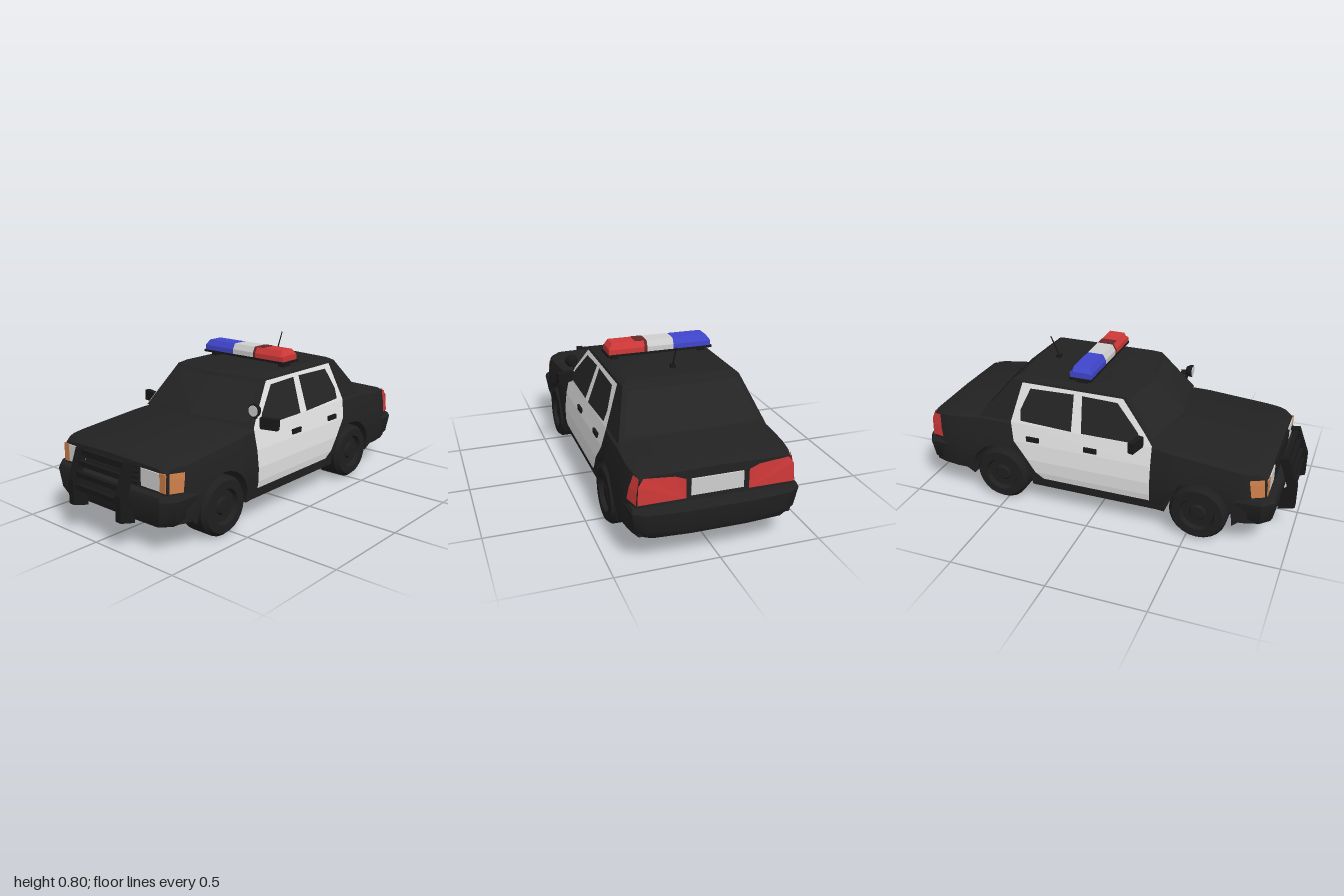
import * as THREE from 'three';
import { toCreasedNormals } from 'three/addons/utils/BufferGeometryUtils.js';

const paint = (name, color, side = THREE.FrontSide) => {
  const m = new THREE.MeshStandardMaterial({ color, side });
  m.name = name;
  return m;
};

// Piecewise-linear lookup in [[key, value], ...]
function lerpTable(table, k) {
  if (k <= table[0][0]) return table[0][1];
  for (let i = 1; i < table.length; i++) {
    const [k0, v0] = table[i - 1], [k1, v1] = table[i];
    if (k <= k1) return v0 + (v1 - v0) * (k - k0) / (k1 - k0);
  }
  return table[table.length - 1][1];
}

// Body rules: half width by height, plan taper and top line along the car
const SIDE = [[0.11, 0.385], [0.2, 0.4], [0.27, 0.402], [0.36, 0.392], [0.46, 0.37], [0.685, 0.292]];
const PLAN = [[-0.88, 0.9], [-0.8, 1], [-0.74, 1.02], [-0.4, 1.02], [-0.34, 1], [0.46, 1], [0.5, 1.02], [0.8, 1.02], [0.88, 0.99], [0.94, 0.94]];
const TOP = [[-0.88, 0.405], [-0.84, 0.43], [-0.33, 0.475], [0.66, 0.475], [0.9, 0.45], [0.94, 0.435]];
const halfWidth = (x, y) => lerpTable(SIDE, y) * lerpTable(PLAN, x);
const WHEELS = [-0.555, 0.525], WHEEL_Y = 0.148, ARCH = 0.172;

// Closed skin through equal-length rings of [x, y, z], with fan caps
function loft(rings, crease = 0.6) {
  const tris = [], n = rings[0].length;
  for (let i = 0; i + 1 < rings.length; i++)
    for (let j = 0; j < n; j++) {
      const k = (j + 1) % n, a = rings[i][j], b = rings[i][k], c = rings[i + 1][k], d = rings[i + 1][j];
      tris.push([a, b, c], [a, c, d]);
    }
  const cap = (ring, flip) => {
    const mid = [0, 1, 2].map(q => ring.reduce((s, p) => s + p[q], 0) / n);
    ring.forEach((p, j) => {
      const next = ring[(j + 1) % n];
      tris.push(flip ? [mid, next, p] : [mid, p, next]);
    });
  };
  cap(rings[0], true);
  cap(rings[rings.length - 1], false);
  const v = p => new THREE.Vector3(...p);
  const volume = tris.reduce((s, [a, b, c]) => s + v(a).dot(v(b).cross(v(c))), 0);
  if (volume < 0) tris.forEach(t => t.reverse());
  const g = new THREE.BufferGeometry();
  g.setAttribute('position', new THREE.Float32BufferAttribute(tris.flat(2), 3));
  return toCreasedNormals(g, crease);
}

// Flat convex faces given as lists of 3D corners
function faces(polys) {
  const pos = [];
  for (const p of polys) for (let i = 1; i + 1 < p.length; i++) pos.push(...p[0], ...p[i], ...p[i + 1]);
  const g = new THREE.BufferGeometry();
  g.setAttribute('position', new THREE.Float32BufferAttribute(pos, 3));
  g.computeVertexNormals();
  return g;
}

// Keep the part of an x-y polygon on one side of a height
function clip(poly, h, keepAbove) {
  const inside = p => keepAbove ? p[1] >= h : p[1] <= h, out = [];
  poly.forEach((p, i) => {
    const q = poly[(i + 1) % poly.length];
    if (inside(p)) out.push(p);
    if (inside(p) !== inside(q)) out.push([p[0] + (q[0] - p[0]) * (h - p[1]) / (q[1] - p[1]), h]);
  });
  return out;
}

// Thin panel that hugs the body side; s is +1 or -1
function sidePanel(poly, off, s) {
  const cuts = [0.1, 0.2, 0.27, 0.36, 0.46, 0.7], out = [];
  for (let i = 0; i + 1 < cuts.length; i++) {
    const band = clip(clip(poly, cuts[i], true), cuts[i + 1], false)
      .map(([x, y]) => [x, y, s * (halfWidth(x, y) + off)]);
    if (band.length > 2) out.push(s > 0 ? band : band.reverse());
  }
  return faces(out);
}

export function createModel() {
  const car = new THREE.Group();
  const D = THREE.DoubleSide;
  const black = paint('bodyBlack', 0x222222), rubber = paint('rubber', 0x1f1f1f), trim = paint('trim', 0x191919);
  const glass = paint('glass', 0x242424, D), white = paint('doorWhite', 0xe2e2e2, D), red = paint('red', 0xd03838, D);
  const darkRed = paint('darkRed', 0x642828, D), blue = paint('blue', 0x4046cc), orange = paint('orange', 0xc87c48, D);
  const lamp = paint('lampGrey', 0xcfcfcf, D);
  const add = (name, geo, mat, x = 0, y = 0, z = 0) => {
    const m = new THREE.Mesh(geo, mat);
    m.name = name;
    m.position.set(x, y, z);
    car.add(m);
    return m;
  };
  const box = (name, mat, w, h, d, x, y, z) => add(name, new THREE.BoxGeometry(w, h, d), mat, x, y, z);

  // Lower body, its sides lifted over the wheels
  const stations = [-0.88, -0.84, -0.8, -0.76, -0.38, -0.34, 0, 0.3, 0.66, 0.74, 0.8, 0.88, 0.94];
  for (const c of WHEELS) {
    stations.push(c - ARCH - 0.002, c + ARCH + 0.002);
    for (let i = 0; i <= 12; i++) stations.push(c - ARCH * Math.cos(Math.PI * i / 12));
  }
  stations.sort((a, b) => a - b);
  add('lowerBody', loft(stations.map(x => {
    const bottom = x < -0.74 || x > 0.72 ? 0.14 : 0.11, top = lerpTable(TOP, x), shoulder = top - 0.025;
    let arch = bottom;
    for (const c of WHEELS) {
      const d = ARCH * ARCH - (x - c) ** 2;
      if (d > -1e-9) arch = Math.max(arch, WHEEL_Y + Math.sqrt(Math.max(d, 0)));
    }
    const half = [[0.24, bottom], [0.24, arch]];
    for (const row of [0.11, 0.2, 0.27, 0.36, shoulder]) {
      const y = Math.min(Math.max(row, arch), shoulder);
      half.push([halfWidth(x, y), y]);
    }
    half.push([0.88 * halfWidth(x, shoulder), top - 0.006]);
    return [[x, bottom, 0], ...half.map(([z, y]) => [x, y, z]), [x, top, 0],
      ...half.reverse().map(([z, y]) => [x, y, -z])];
  })), black);

  // Cabin: rings from belt line to roof
  const cabinRing = (y, z, f, fMid, r, rMid, yMid = y) =>
    [[fMid, yMid, 0], [f, y, z], [r, y, z], [rMid, yMid, 0], [r, y, -z], [f, y, -z]];
  add('cabin', loft([
    cabinRing(0.46, 0.37, -0.31, -0.38, 0.655, 0.67),
    cabinRing(0.67, 0.297, -0.14, -0.18, 0.48, 0.495),
    cabinRing(0.686, 0.27, -0.1, -0.13, 0.45, 0.46, 0.69),
  ], 0.4), black);
  for (const s of [1, -1]) add('windshield', faces([[
    [-0.365, 0.485, 0], [-0.296, 0.485, s * 0.335], [-0.16, 0.655, s * 0.28], [-0.199, 0.655, 0]]]), glass);
  for (const s of [1, -1]) add('rearWindow', faces([[
    [0.656, 0.485, 0], [0.642, 0.485, s * 0.335], [0.5, 0.655, s * 0.28], [0.514, 0.655, 0]]]), glass);

  // Bumpers, built upward from a half plan outline
  const bumper = (name, plan, xMid) => {
    const ring = (y, k, dx) => {
      const half = plan.map(([x, z]) => [xMid + (x - xMid) * dx, y, z * k]);
      return [...half, ...half.slice().reverse().map(([x, yy, z]) => [x, yy, -z])];
    };
    add(name, loft([ring(0.135, 0.9, 0.9), ring(0.17, 0.96, 0.96), ring(0.265, 1, 1), ring(0.285, 0.98, 0.97)], 0.5), black);
  };
  bumper('frontBumper', [[-0.93, 0.18], [-0.925, 0.355], [-0.87, 0.408], [-0.74, 0.412]], -0.72);
  bumper('rearBumper', [[1, 0.15], [0.985, 0.345], [0.95, 0.4], [0.71, 0.412]], 0.7);

  // Both sides: doors, windows, handles, lamps, mirrors and wheels
  const door = [[-0.305, 0.165], [0.28, 0.165], [0.325, 0.2], [0.37, 0.27], [0.445, 0.36], [0.465, 0.46],
    [0.42, 0.662], [-0.13, 0.662], [-0.26, 0.52], [-0.305, 0.465]];
  const windows = {
    frontWindow: [[-0.255, 0.465], [0.07, 0.465], [0.085, 0.645], [-0.105, 0.64], [-0.225, 0.52]],
    rearSideWindow: [[0.125, 0.465], [0.41, 0.475], [0.415, 0.53], [0.37, 0.64], [0.13, 0.645]],
  };
  const tyre = [[0, -0.08], [0.13, -0.083], [0.148, -0.062], [0.148, 0.062], [0.13, 0.083], [0.09, 0.083],
    [0.08, 0.06], [0.045, 0.06], [0.035, 0.072], [0, 0.074]].map(p => new THREE.Vector2(...p));
  const wheelGeo = toCreasedNormals(new THREE.LatheGeometry(tyre, 24), 0.5);
  for (const s of [1, -1]) {
    add('doors', sidePanel(door, 0.005, s), white);
    for (const [name, poly] of Object.entries(windows)) add(name, sidePanel(poly, 0.009, s), glass);
    for (const x of [0.015, 0.335]) box('doorHandle', trim, 0.07, 0.025, 0.012, x, 0.387, s * 0.396);
    add('sideMarker', sidePanel([[-0.875, 0.295], [-0.815, 0.295], [-0.8, 0.385], [-0.865, 0.385]], 0.005, s), orange);
    box('cornerLamp', orange, 0.009, 0.09, 0.035, -0.881, 0.34, s * 0.335);
    box('headlight', lamp, 0.009, 0.085, 0.12, -0.881, 0.34, s * 0.256);
    add('tailLightSide', sidePanel([[0.872, 0.305], [0.944, 0.3], [0.935, 0.42], [0.892, 0.425]], 0.005, s), red);
    add('tailLight', faces([[[0.947, 0.3, 0.15 * s], [0.947, 0.3, 0.374 * s], [0.947, 0.39, 0.37 * s],
      [0.942, 0.425, 0.345 * s], [0.942, 0.412, 0.2 * s], [0.947, 0.395, 0.15 * s]]]), red);
    box('mirror', trim, 0.03, 0.056, 0.095, -0.235, 0.482, s * 0.415).rotation.y = s * 0.25;
    for (const x of WHEELS) add('wheel', wheelGeo, rubber, x, WHEEL_Y, s * 0.329).rotation.x = s * Math.PI / 2;
  }

  // Number plate and grille
  box('numberPlate', lamp, 0.009, 0.08, 0.25, 0.943, 0.35, 0);
  for (let i = 0; i < 4; i++) box('grilleBar', trim, 0.014, 0.012, 0.36, -0.884, 0.305 + i * 0.025, 0);

  // Push bar: two bent uprights and cross rails
  const upright = new THREE.Shape([[-0.918, 0.122], [-0.905, 0.2], [-0.955, 0.25], [-0.9, 0.41], [-0.945, 0.415],
    [-1, 0.27], [-1, 0.145]].map(p => new THREE.Vector2(...p)));
  const uprightGeo = new THREE.ExtrudeGeometry(upright, { depth: 0.035, bevelEnabled: false });
  for (const z of [0.148, -0.183]) add('pushBarUpright', uprightGeo, trim, 0, 0, z);
  for (const [x, y] of [[-0.93, 0.395], [-0.948, 0.345], [-0.966, 0.295], [-0.975, 0.235]])
    box('pushBarRail', trim, 0.025, 0.025, 0.31, x, y, 0);

  // Roof light bar
  box('lightBarBase', trim, 0.12, 0.012, 0.56, 0.11, 0.714, 0);
  for (const z of [0.235, -0.235]) box('lightBarFoot', trim, 0.06, 0.034, 0.035, 0.11, 0.695, z);
  const lens = (name, mat, z0, z1, end0 = 0, end1 = 0) => {
    const ring = (z, h) => [[0.052, 0.72, z], [0.052, 0.745, z], [0.068, h, z], [0.152, h, z], [0.168, 0.745, z], [0.168, 0.72, z]];
    const rings = [ring(z0, end0 ? 0.75 : 0.775), ring(z1, end1 ? 0.75 : 0.775)];
    if (end0) rings.splice(1, 0, ring(z0 + 0.02, 0.775));
    if (end1) rings.splice(1, 0, ring(z1 - 0.02, 0.775));
    add(name, loft(rings, 0.3), mat);
  };
  lens('redLens', red, 0.085, 0.272, 0, 1);
  lens('darkRedLens', darkRed, 0.07, 0.085);
  lens('clearLens', lamp, -0.07, 0.07);
  lens('blueLens', blue, -0.272, -0.07, 1, 0);
  box('darkRedTop', darkRed, 0.084, 0.002, 0.045, 0.11, 0.7755, 0.107);

  // Aerial
  box('aerialBase', trim, 0.025, 0.02, 0.025, 0.35, 0.695, 0);
  add('aerial', new THREE.CylinderGeometry(0.003, 0.004, 0.115, 6), trim, 0.372, 0.751, 0).rotation.z = -0.42;

  // Spotlight beside the windshield
  const shell = [[0, -0.018], [0.022, -0.014], [0.034, 0.006], [0.034, 0.02], [0, 0.02]].map(p => new THREE.Vector2(...p));
  add('spotlight', toCreasedNormals(new THREE.LatheGeometry(shell, 14), 0.6), trim, -0.28, 0.552, 0.365).rotation.z = Math.PI / 2;
  add('spotlightLens', new THREE.CylinderGeometry(0.028, 0.028, 0.004, 14), lamp, -0.301, 0.552, 0.365).rotation.z = Math.PI / 2;
  box('spotlightArm', trim, 0.015, 0.07, 0.015, -0.268, 0.515, 0.352).rotation.z = 0.2;
  return car;
}
